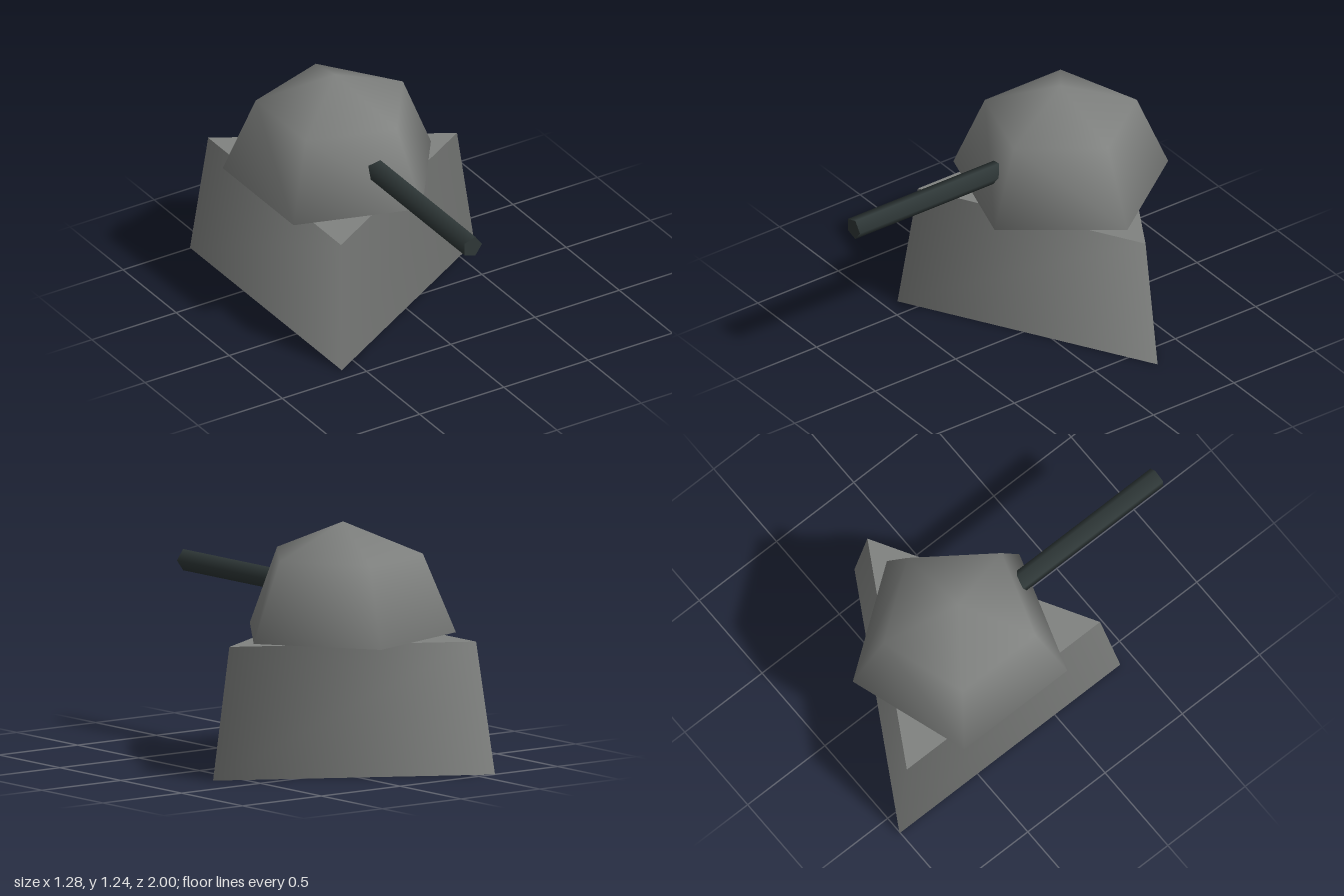
import * as THREE from 'three';

const CX = -0.187, CZ = -0.29; // shared vertical axis of base and dome
const BASE_H = 0.67, DOME_R = 0.567, BARREL_R = 0.057, BARREL_TIP = 1;

export function createModel() {
  const group = new THREE.Group();
  group.name = 'turret';

  const material = (name, color) => {
    const m = new THREE.MeshStandardMaterial({ color });
    m.name = name;
    return m;
  };
  const grey = material('grey', 0x808280);
  const darkGrey = material('darkGrey', 0x2f3838);

  const add = (name, geometry, mat, x, y, z) => {
    const mesh = new THREE.Mesh(geometry, mat);
    mesh.name = name;
    mesh.position.set(x, y, z);
    group.add(mesh);
    return mesh;
  };

  // Tapered three-sided base, one corner pointing to +x
  add('base', new THREE.CylinderGeometry(0.722, 0.825, BASE_H, 3, 1, false, Math.PI / 2),
    grey, CX, BASE_H / 2, CZ);

  // Five-sided half-sphere dome with a flat underside
  add('dome', new THREE.SphereGeometry(DOME_R, 5, 2, Math.PI, Math.PI * 2, 0, Math.PI / 2),
    grey, CX, BASE_H, CZ);
  add('domeUnderside', new THREE.CircleGeometry(DOME_R, 5).rotateX(Math.PI / 2),
    grey, CX, BASE_H, CZ);

  // Five-sided barrel running forward from the dome's centre
  const length = BARREL_TIP - CZ;
  add('barrel', new THREE.CylinderGeometry(BARREL_R, BARREL_R, length, 5, 1, false, Math.PI / 2)
    .rotateX(Math.PI / 2), darkGrey, CX, 0.877, CZ + length / 2);

  return group;
}
